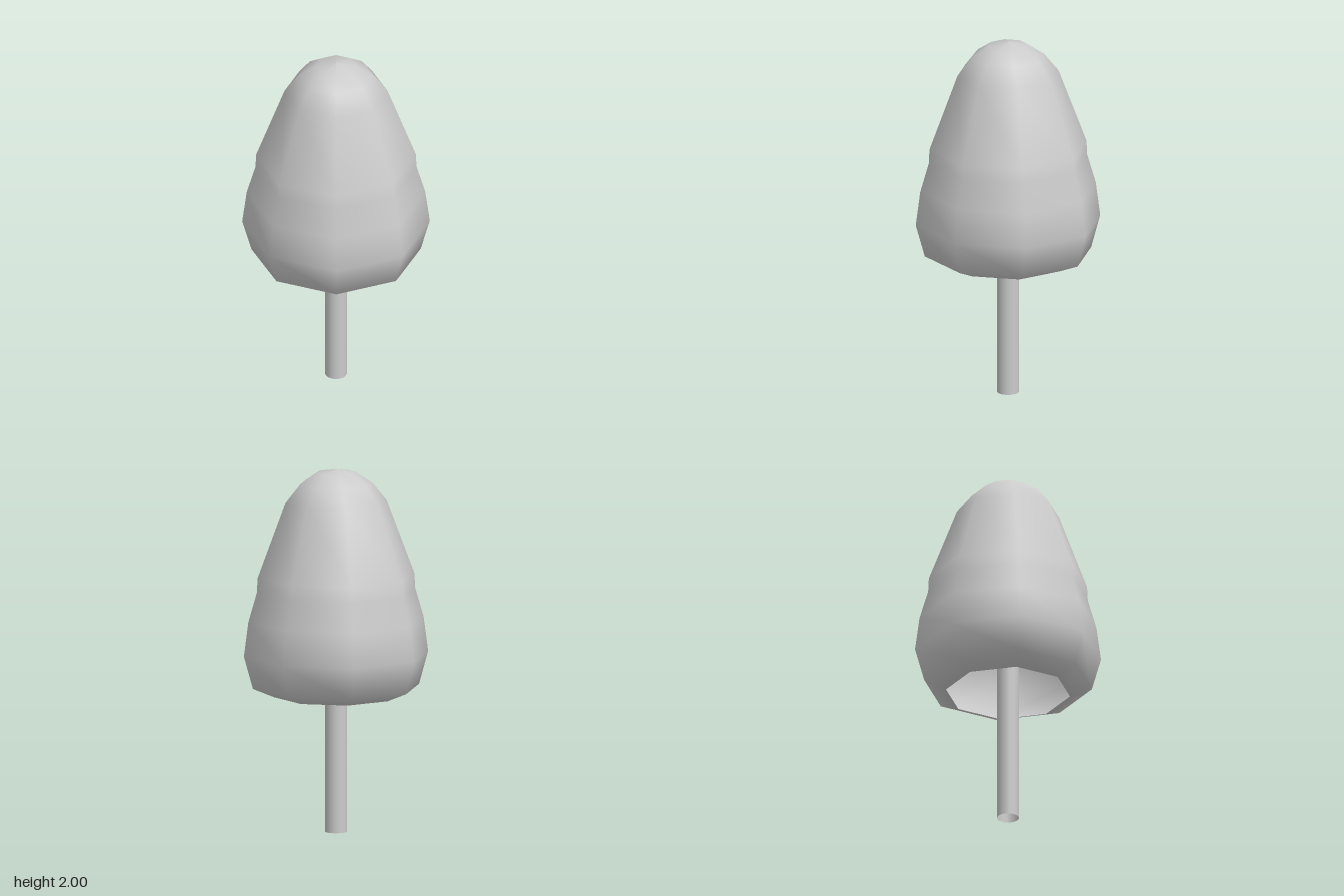
import * as THREE from 'three';

export function createModel() {
  const group = new THREE.Group();
  const material = new THREE.MeshStandardMaterial({ color: 0xcccccc, side: THREE.DoubleSide });

  // Hollow eight-sided crown, open underneath: [radius, height] from rim to tip
  const profile = [
    [0.34, 0.75], [0.46, 0.8], [0.51, 0.98], [0.485, 1.17], [0.438, 1.33],
    [0.434, 1.41], [0.28, 1.82], [0.2, 1.92], [0.11, 1.98], [0, 2],
  ].map(([r, y]) => new THREE.Vector2(r, y));
  const crown = new THREE.Mesh(new THREE.LatheGeometry(profile, 8), material);
  crown.name = 'crown';
  group.add(crown);

  // Slim open tube trunk, running up inside the crown
  const trunkHeight = 1.2;
  const trunk = new THREE.Mesh(
    new THREE.CylinderGeometry(0.06, 0.06, trunkHeight, 16, 1, true), material);
  trunk.name = 'trunk';
  trunk.position.y = trunkHeight / 2;
  group.add(trunk);

  return group;
}
